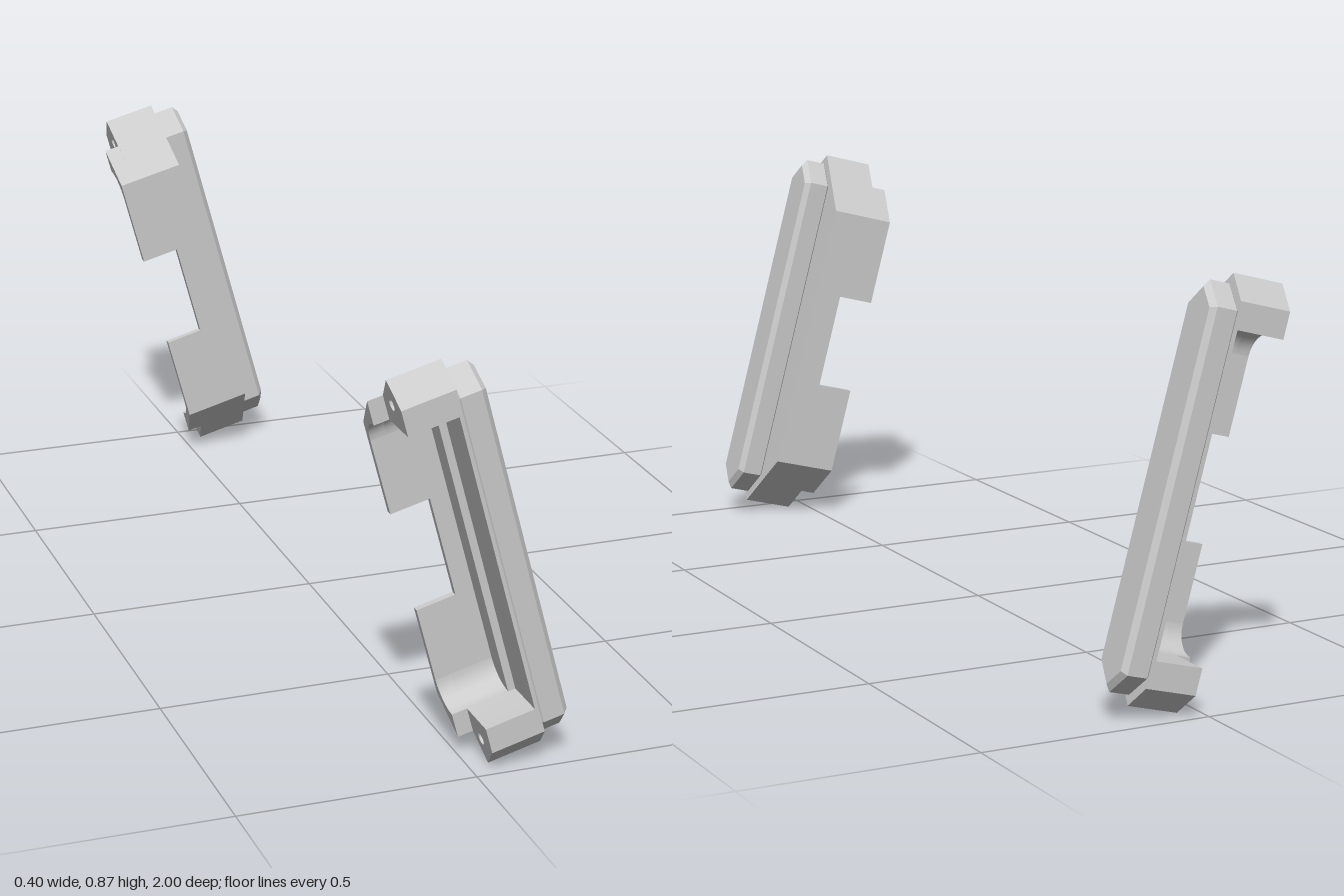
import * as THREE from 'three';
import { toCreasedNormals } from 'three/addons/utils/BufferGeometryUtils.js';

const TILT = Math.PI / 12;
const MID = 0.424; // height of the cover's middle along its tilted axis

// Cross-sections are [w, h]: w = distance from the model's centre, h = along the cover
const hexagon = [[0.83, -0.311], [0.95, -0.433], [1, -0.385], [1, 0.385], [0.95, 0.433], [0.83, 0.311]];
const capOutline = [[0.9, -0.361], [0.95, -0.411], [1, -0.365], [1, 0.365], [0.95, 0.411], [0.9, 0.361]];
const ledge = [[0.83, -0.311], [0.9, -0.382], [0.9, 0.382], [0.83, 0.311]];

// Concave fillet from the thin inner wall up to the end block
const fillet = [];
for (let i = 0; i <= 8; i++) {
  const a = (i / 8) * Math.PI / 2;
  fillet.push([0.9 - 0.055 * Math.cos(a), 0.274 + 0.055 * Math.sin(a)]);
}
const endBlock = [[0.83, 0.274], ...fillet, [1, 0.329], [1, 0.385], [0.95, 0.433], [0.83, 0.311]];
const endLip = [[0.83, 0.274], ...fillet, [0.9, 0.382], [0.83, 0.311]];
const tab = [[0.83, 0.11], [0.845, 0.11], [0.845, 0.274], [0.83, 0.274]];
const middleWall = [[0.83, -0.11], [0.845, -0.11], [0.845, 0.11], [0.83, 0.11]];

function createCover(side) {
  const cover = new THREE.Group();
  const material = new THREE.MeshStandardMaterial({ color: 0xcccccc });

  // Extrude a cross-section across the cover from u0 to u1
  function add(name, points, u0, u1, { flip = 1, hole = false, bevel = 0 } = {}) {
    const shape = new THREE.Shape(points.map(([w, h]) => new THREE.Vector2(-side * w, flip * h)));
    if (hole) {
      const path = new THREE.Path();
      path.absarc(-side * 0.945, flip * 0.378, 0.013, 0, Math.PI * 2);
      shape.holes.push(path);
    }
    const geometry = new THREE.ExtrudeGeometry(shape, {
      depth: u1 - u0 - 2 * bevel, curveSegments: 10, bevelEnabled: bevel > 0,
      bevelThickness: bevel, bevelSize: bevel, bevelOffset: -bevel, bevelSegments: 1,
    });
    geometry.translate(0, 0, u0 + bevel);
    geometry.rotateY(Math.PI / 2);
    const mesh = new THREE.Mesh(toCreasedNormals(geometry, 0.5), material);
    mesh.name = name;
    cover.add(mesh);
  }

  // Outer plate, raised chamfered cap and the step inside the opening
  add('outerPlate', hexagon, 0.15, 0.158);
  add('raisedCap', capOutline, 0.15, 0.217, { bevel: 0.011 });
  add('innerLedge', ledge, 0.134, 0.15);
  add('middleWall', middleWall, 0.095, 0.134);

  // Both ends: block with screw hole, stepped lip and wall tab
  for (const flip of [1, -1]) {
    const end = flip > 0 ? 'upper' : 'lower';
    add(end + 'EndBlock', endBlock, 0.043, 0.15, { flip, hole: true });
    add(end + 'EndLip', endLip, 0.01, 0.043, { flip });
    add(end + 'Tab', tab, 0.01, 0.134, { flip });
  }

  cover.rotation.z = TILT;
  cover.position.set(-MID * Math.sin(TILT), MID * Math.cos(TILT), 0);
  return cover;
}

export function createModel() {
  const model = new THREE.Group();
  model.name = 'endCoverPair';
  for (const side of [1, -1]) {
    const cover = createCover(side);
    cover.name = side > 0 ? 'frontCover' : 'backCover';
    model.add(cover);
  }
  return model;
}
